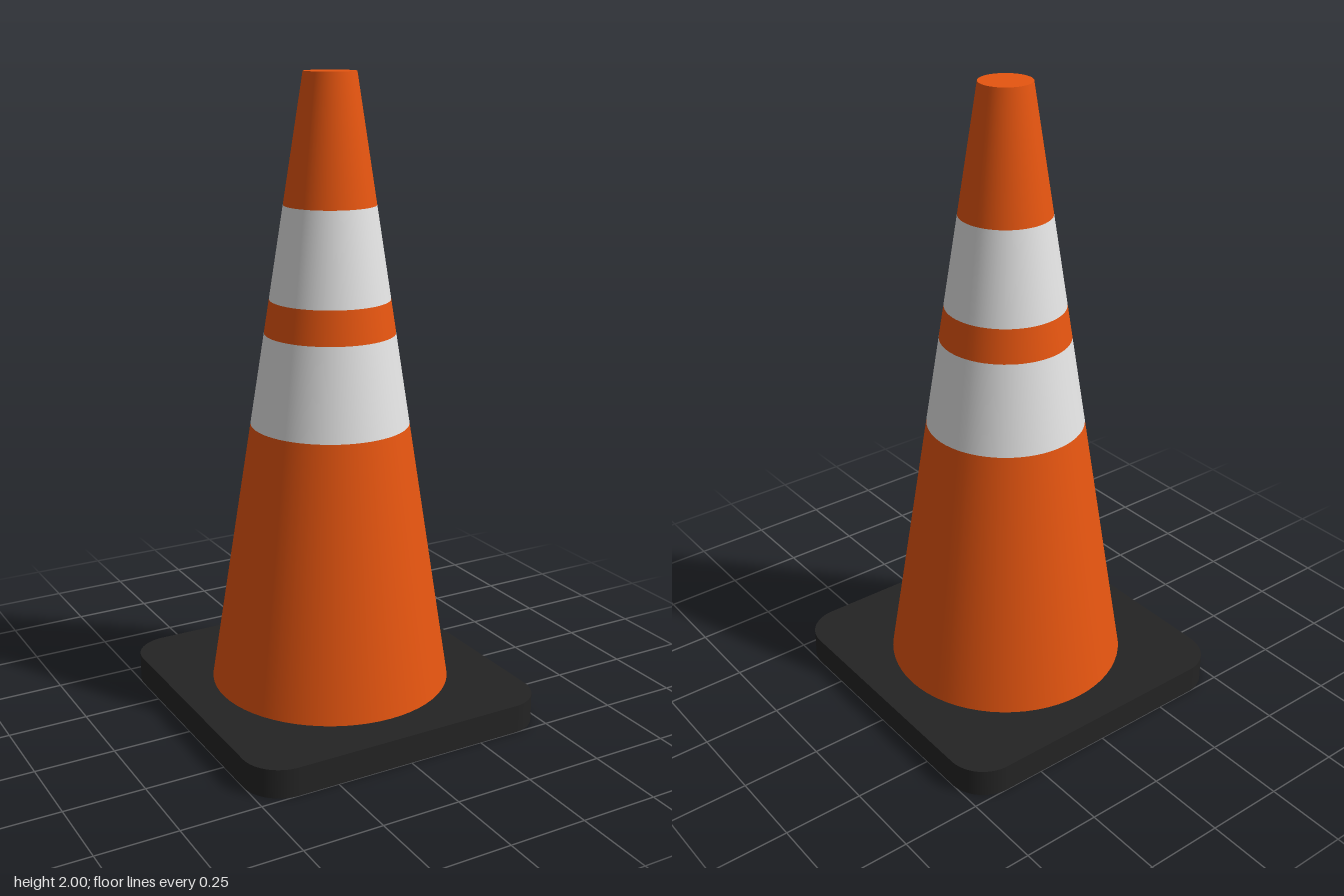
import * as THREE from 'three';

const BASE_HEIGHT = 0.09, TOP = 2, R_BOTTOM = 0.38, R_TOP = 0.08, SEGMENTS = 64;

const material = (name, color) => {
  const m = new THREE.MeshStandardMaterial({ color });
  m.name = name;
  return m;
};

// Radius of the tapering cone at height y
const radiusAt = (y) =>
  THREE.MathUtils.mapLinear(y, BASE_HEIGHT, TOP, R_BOTTOM, R_TOP);

// Square plate with rounded corners and a round hole under the cone
function baseGeometry() {
  const h = 0.5, r = 0.12, c = h - r;
  const shape = new THREE.Shape();
  [[c, c], [-c, c], [-c, -c], [c, -c]].forEach(([x, y], i) =>
    shape.absarc(x, y, r, i * Math.PI / 2, (i + 1) * Math.PI / 2, false));
  shape.closePath();
  const hole = new THREE.Path();
  hole.absarc(0, 0, R_BOTTOM, 0, Math.PI * 2, true);
  shape.holes.push(hole);
  const geometry = new THREE.ExtrudeGeometry(shape, {
    depth: BASE_HEIGHT, bevelEnabled: false, curveSegments: 32,
  });
  return geometry.rotateX(-Math.PI / 2);
}

export function createModel() {
  const group = new THREE.Group();
  group.name = 'trafficCone';
  const orange = material('orange plastic', 0xe65510);
  const white = material('reflective white', 0xe4e4e4);
  const black = material('black rubber', 0x242424);

  const add = (name, geometry, mat) => {
    const mesh = new THREE.Mesh(geometry, mat);
    mesh.name = name;
    group.add(mesh);
    return mesh;
  };

  add('base', baseGeometry(), black);

  // Cone body as stacked, flush sections
  const sections = [
    ['lowerCone', BASE_HEIGHT, 0.935, orange],
    ['lowerStripe', 0.935, 1.22, white],
    ['middleCone', 1.22, 1.325, orange],
    ['upperStripe', 1.325, 1.61, white],
    ['upperCone', 1.61, TOP, orange],
  ];
  for (const [name, y0, y1, mat] of sections) {
    const geometry = new THREE.CylinderGeometry(
      radiusAt(y1), radiusAt(y0), y1 - y0, SEGMENTS, 1, true);
    add(name, geometry, mat).position.y = (y0 + y1) / 2;
  }

  // Flat discs closing the tip and the underside
  const disc = (name, radius, y, tilt) => {
    const mesh = add(name, new THREE.CircleGeometry(radius, SEGMENTS), orange);
    mesh.rotation.x = tilt;
    mesh.position.y = y;
  };
  disc('tipCap', R_TOP, TOP, -Math.PI / 2);
  disc('undersideCap', R_BOTTOM, BASE_HEIGHT, Math.PI / 2);

  return group;
}
